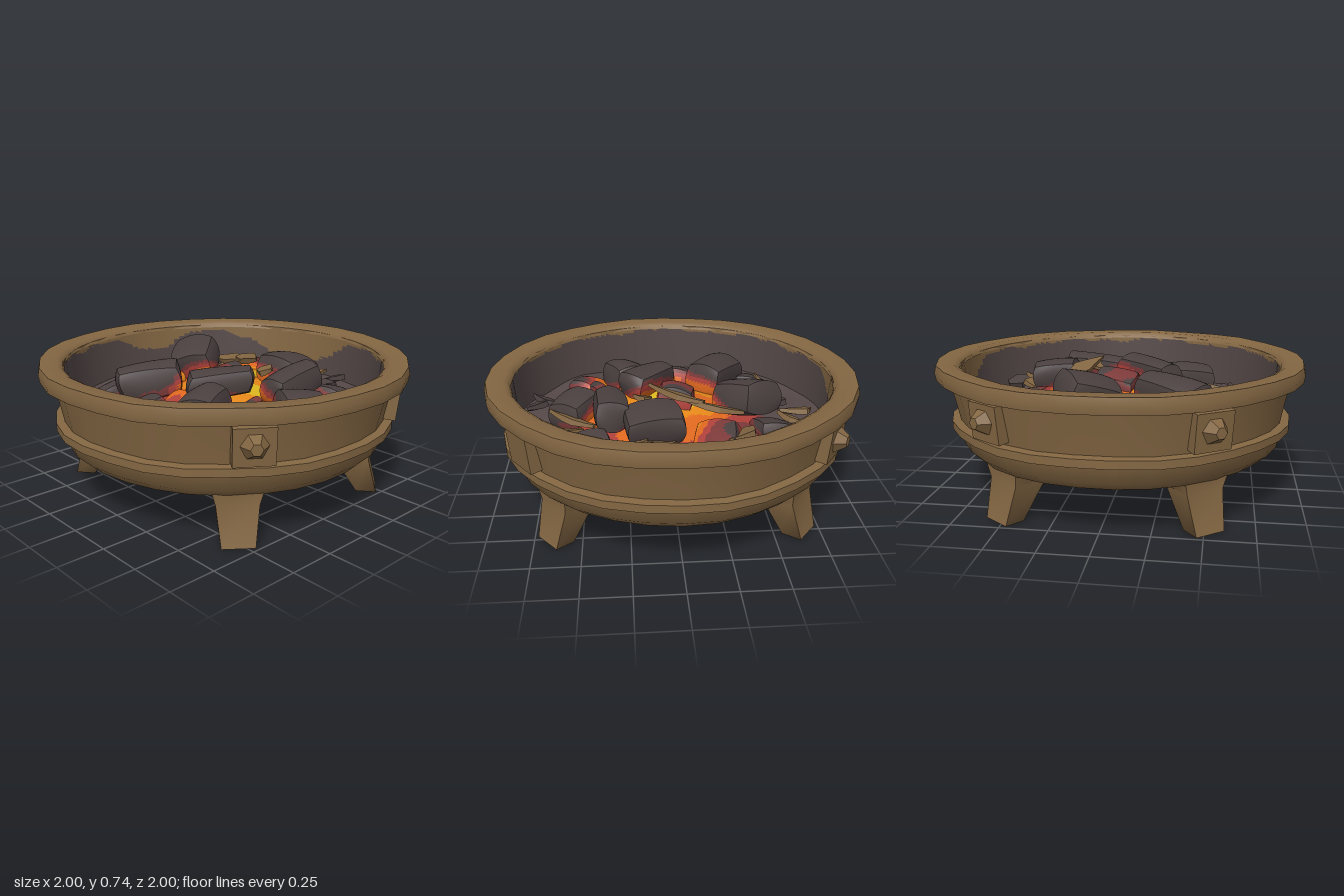
import * as THREE from 'three';
import { toCreasedNormals } from 'three/addons/utils/BufferGeometryUtils.js';

const mat = (name, color) => {
  const m = new THREE.MeshStandardMaterial({ color });
  m.name = name;
  return m;
};
const V = (x, y) => new THREE.Vector2(x, y);

// Smooth repeatable unevenness, roughly -1..1
const wobble = (x, y, z, f = 1) =>
  (Math.sin(f * (7.1 * x + 3.3 * y) + 1.3) + Math.sin(f * (6.3 * z - 4.1 * y) + 0.4) +
   Math.sin(f * (5.2 * (x - z) + 2.7 * y) + 2.1)) / 3;

// Move every vertex by a rule
function warp(geo, rule) {
  const p = geo.attributes.position, v = new THREE.Vector3();
  for (let i = 0; i < p.count; i++) {
    v.fromBufferAttribute(p, i);
    rule(v);
    p.setXYZ(i, v.x, v.y, v.z);
  }
  geo.computeVertexNormals();
  return geo;
}

// Sort triangles into material groups by the colour index at their centre
function paint(geo, rule) {
  const src = geo.index ? geo.toNonIndexed() : geo;
  const p = src.attributes.position, n = src.attributes.normal, bins = [];
  const c = new THREE.Vector3(), v = new THREE.Vector3();
  for (let i = 0; i < p.count; i += 3) {
    c.set(0, 0, 0);
    for (let k = 0; k < 3; k++) c.add(v.fromBufferAttribute(p, i + k));
    (bins[rule(c.divideScalar(3))] ??= []).push(i, i + 1, i + 2);
  }
  const out = new THREE.BufferGeometry(), pos = [], nor = [];
  bins.forEach((list, m) => {
    out.addGroup(pos.length / 3, list.length, m);
    for (const i of list) {
      pos.push(p.getX(i), p.getY(i), p.getZ(i));
      nor.push(n.getX(i), n.getY(i), n.getZ(i));
    }
  });
  out.setAttribute('position', new THREE.Float32BufferAttribute(pos, 3));
  out.setAttribute('normal', new THREE.Float32BufferAttribute(nor, 3));
  return out;
}

// Ember bed height, and how hot a point is
const bedY = (x, z) => 0.45 + 0.12 * Math.exp(-(x * x + z * z) / 0.2);
const bands = [0.1, 0.23, 0.4, 0.63, 0.8];
function heatBand(p, cool = 0) {
  const above = Math.max(0, p.y - bedY(p.x, p.z) - 0.03);
  const h = 1.05 - Math.hypot(p.x - 0.05, p.z + 0.02) / 0.6 - above * 6 - cool +
    0.13 * wobble(p.x, p.y, p.z, 4);
  return bands.filter((b) => h > b).length;
}

export function createModel() {
  const model = new THREE.Group();
  const bronze = mat('bronze', 0x846743), soot = mat('soot', 0x554848), coal = mat('coal', 0x4b4040);
  const glow = [mat('maroon ember', 0x7d3a3a), mat('red ember', 0xb0413a), mat('orange ember', 0xe2691f),
    mat('amber ember', 0xf5921c), mat('yellow ember', 0xdfb81f)];
  const add = (name, geo, material, parent = model) => {
    const m = new THREE.Mesh(geo, material);
    m.name = name;
    parent.add(m);
    return m;
  };

  // Hammered bowl: underside, soft belly, band, collar and rim
  const profile = [[0, 0.21], [0.45, 0.212], [0.72, 0.228], [0.82, 0.255], [0.87, 0.3], [0.895, 0.39], [0.93, 0.39],
    [0.93, 0.432], [0.885, 0.437], [0.905, 0.54], [0.93, 0.655], [0.995, 0.655], [1.002, 0.695], [0.992, 0.735],
    [0.9, 0.733], [0.875, 0.72], [0.866, 0.7]];
  const bowl = warp(new THREE.LatheGeometry(profile.map(([r, y]) => V(r, y)), 30), (v) => {
    const s = 1 + 0.006 * wobble(v.x, v.y, v.z, 1.3);
    v.set(v.x * s, v.y + (v.y > 0.3 ? 0.004 * wobble(v.z, 0, v.x, 1.5) : 0), v.z * s);
  });
  add('bowl', toCreasedNormals(bowl, 0.95), bronze);

  // Inner wall with an uneven soot line, lowest at the back
  const wallPts = Array.from({ length: 19 }, (_, i) => V(0.868 - 0.022 * i / 18, 0.715 - 0.295 * i / 18));
  const bump = (a, at, w) => Math.exp((Math.cos(a - at) - 1) * 2 / (w * w));
  const wall = paint(new THREE.LatheGeometry(wallPts, 144), (p) => {
    const a = Math.atan2(p.z, p.x);
    const line = 0.69 + 0.009 * Math.sin(9 * a) + 0.007 * Math.sin(23 * a + 1) -
      0.2 * bump(a, -1.82, 0.34) - 0.1 * bump(a, -2.95, 0.26);
    return p.y < line ? 1 : 0;
  });
  add('innerWall', wall, [bronze, soot]);

  // Ash bed, glowing toward the middle
  const bedPts = Array.from({ length: 41 }, (_, i) => V(0.86 * (1 - i / 40), 0));
  const bed = warp(new THREE.LatheGeometry(bedPts, 120), (v) => {
    v.y = bedY(v.x, v.z) + 0.016 * wobble(v.x, 0, v.z, 2);
  });
  add('emberBed', paint(bed, (p) => heatBand(p)), [soot, ...glow]);

  // One coal: a barrel-sided block, cooler toward its top
  const coalGroup = new THREE.Group();
  coalGroup.name = 'coals';
  model.add(coalGroup);
  const addCoal = (name, x, y, z, w, h, l, turn, tilt, cool) => {
    const geo = warp(new THREE.BoxGeometry(1, 1, 1, 10, 10, 10), (v) => {
      const { x: a, y: b, z: c } = v;
      v.x *= 1 - 0.4 * b * b - 0.2 * c * c;
      v.y *= 1 - 0.9 * a * a - 0.3 * c * c;
      v.z *= 1 - 0.2 * a * a - 0.4 * b * b;
      v.x += 0.06 * wobble(a + x * 9, b, c, 0.5);
      v.y += 0.05 * wobble(b, c + z * 9, a, 0.5);
      v.z += 0.06 * wobble(c, a, b + x * 7, 0.5);
      v.multiplyScalar(1.1);
    });
    geo.scale(w, h, l).rotateX(tilt).rotateZ(tilt * 0.7).rotateY(turn).translate(x, y, z);
    add(name, paint(toCreasedNormals(geo, 0.6), (p) => heatBand(p, cool)), [coal, ...glow], coalGroup);
  };

  // Large coals on top: x, y, z, width, height, length, turn, tilt, coolness
  [[-0.39, 0.612, -0.12, 0.23, 0.17, 0.27, 0.6, 0.3, 0.05], [0.12, 0.595, -0.38, 0.26, 0.17, 0.22, 0.08, -0.12, 0.1],
    [0.34, 0.595, -0.19, 0.15, 0.16, 0.33, 0.05, 0.15, 0.1], [0.13, 0.625, 0.15, 0.15, 0.15, 0.32, -0.65, 0.1, 0.35],
    [-0.27, 0.58, 0.31, 0.2, 0.18, 0.32, -0.6, 0.12, 0.1], [0.25, 0.56, 0.36, 0.19, 0.17, 0.24, 0.35, 0.1, 0.05],
    [0.53, 0.535, -0.04, 0.19, 0.16, 0.22, -0.6, -0.15, 0], [-0.02, 0.58, -0.02, 0.18, 0.14, 0.2, -0.2, 0.15, 0.47],
  ].forEach((c) => addCoal('largeCoal', ...c));

  // Small coals half buried in the bed: x, z, width, height, length, turn, tilt, coolness
  [[0.44, -0.43, 0.2, 0.12, 0.18, 0.15, -0.25, -0.1], [-0.2, -0.43, 0.22, 0.15, 0.2, -0.3, -0.25, -0.36],
    [-0.52, -0.28, 0.2, 0.11, 0.18, 0.1, 0.25, 0], [-0.07, 0.5, 0.17, 0.12, 0.18, -0.1, 0.25, -0.1],
    [-0.5, 0.38, 0.17, 0.11, 0.2, -0.3, 0.25, -0.1], [0.46, 0.36, 0.18, 0.11, 0.22, -0.5, 0.25, -0.42],
    [-0.5, 0.1, 0.17, 0.11, 0.2, 0.2, -0.25, -0.42], [-0.36, 0.12, 0.15, 0.1, 0.16, 0, 0.15, -0.25],
    [0.05, 0.38, 0.12, 0.1, 0.16, 0.4, 0.2, -0.25], [0.41, 0.18, 0.07, 0.16, 0.16, 0.3, 0.2, 0],
  ].forEach(([x, z, ...rest]) => addCoal('smallCoal', x, bedY(x, z) + 0.015, z, ...rest));

  // Loose slivers of wood and charred flakes: x, z, length, width, turn, lift
  const chips = new THREE.Group();
  chips.name = 'chips';
  model.add(chips);
  const chip = (name, material) => ([x, z, l, w, turn, lift]) => {
    const geo = warp(new THREE.BoxGeometry(1, 1, 1, 5, 1, 1), (v) => {
      const t = v.x;
      v.z = v.z * (1 - 1.6 * Math.abs(t + 0.12)) + 0.5 * t * t;
      v.y = v.y * (1 - Math.abs(t)) + 1.2 * t * t;
    });
    geo.scale(l, 0.035, w).rotateZ(0.18).rotateX(0.3).rotateY(turn).translate(x, bedY(x, z) + lift, z);
    add(name, toCreasedNormals(geo, 0.5), material, chips);
  };
  [[-0.68, -0.1, 0.2, 0.15, 0.5, 0.05], [-0.55, 0.23, 0.27, 0.07, -1.25, 0.06], [0.6, -0.32, 0.25, 0.1, 0.3, 0.07],
    [0.55, -0.2, 0.27, 0.08, -0.4, 0.07], [-0.2, -0.27, 0.32, 0.1, -0.15, 0.1], [0.0, -0.2, 0.32, 0.1, -0.4, 0.12],
    [0.13, 0.5, 0.26, 0.07, 1.4, 0.06], [0.1, -0.52, 0.18, 0.14, 0.3, 0.06], [-0.33, -0.44, 0.3, 0.12, 1.1, 0.06],
    [0.19, -0.54, 0.16, 0.07, 1.2, 0.08], [0.52, 0.12, 0.22, 0.1, 0.8, 0.05], [-0.62, -0.2, 0.16, 0.06, -0.6, 0.05],
    [0.17, -0.17, 0.1, 0.1, 0, 0.1],
  ].forEach(chip('woodSliver', bronze));
  [[0.75, 0.08, 0.2, 0.12, 1.3, 0.05], [0.27, -0.64, 0.18, 0.12, -1.1, 0.06], [-0.28, 0.63, 0.22, 0.12, -1.4, 0.05],
    [0.23, 0.62, 0.2, 0.11, 0.4, 0.04], [-0.12, -0.65, 0.18, 0.09, 0.4, 0.05], [0.72, 0.16, 0.16, 0.08, -0.4, 0.05],
    [-0.6, 0.02, 0.18, 0.1, 1, 0.04], [0.3, -0.52, 0.16, 0.08, 0.2, 0.05],
  ].forEach(chip('charredFlake', coal));

  // Four splayed legs flaring into the belly; rows of y, centre radius, depth, width
  const legRows = [[0, 0.81, 0.11, 0.165], [0.2, 0.72, 0.185, 0.21], [0.32, 0.68, 0.3, 0.27]];
  for (const sx of [1, -1]) for (const sz of [1, -1]) {
    const leg = warp(new THREE.BoxGeometry(1, 1, 1, 1, 2, 1), (v) => {
      const [y, r, depth, width] = legRows[Math.round((v.y + 0.5) * 2)];
      v.set(r + v.x * depth, y, v.z * width);
    });
    add('leg', toCreasedNormals(leg, 1.5), bronze).rotation.y = -Math.atan2(sz * 0.5, sx * 0.64);

    // Wall plates with studs; the back left plate has lost its stud
    const mount = new THREE.Group();
    mount.name = 'wallPlate';
    mount.rotation.y = -Math.atan2(sz * 0.565, sx * 0.825);
    model.add(mount);
    const plate = add('plate', new THREE.BoxGeometry(0.08, 0.19, 0.2), bronze, mount);
    plate.position.set(0.912, 0.545, 0);
    plate.rotation.z = -0.1;
    if (sx > 0 && sz < 0) continue;
    const stud = add('stud', toCreasedNormals(new THREE.CylinderGeometry(0.03, 0.07, 0.06, 6), 0.3), bronze, mount);
    stud.position.set(0.978, 0.55, 0);
    stud.rotation.z = -Math.PI / 2;
  }
  return model;
}
